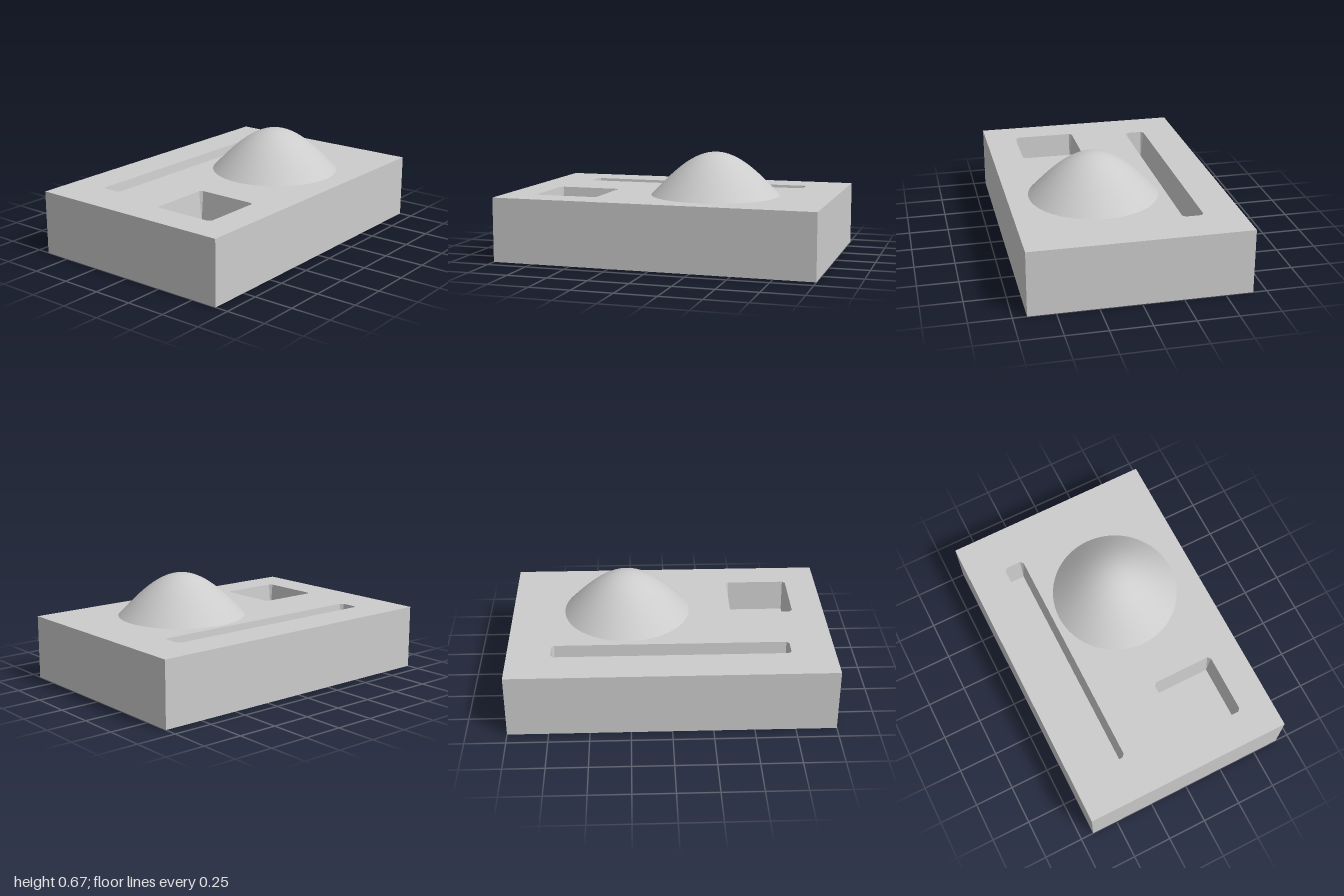
import * as THREE from 'three';

const TOP = 0.4, HALF_X = 1, HALF_Z = 0.6667;
const DRAFT = 0.0175;
// Pockets: centre, half sizes of the floor, depth
const POCKETS = [
  { name: 'squarePocket', x: -0.6, z: 0.2667, w: 0.1825, d: 0.1825, depth: 0.2 },
  { name: 'slotPocket', x: 0, z: -0.3715, w: 0.7155, d: 0.0475, depth: 0.2 },
];
const DOME = { x: 0.2667, z: 0.1333, r: 0.4, h: 0.2667, segments: 72 };

// Floor corners and the chamfered rim points belonging to each, counter-clockwise from above
function pocketCorners({ x, z, w, d }) {
  return [[1, 1], [1, -1], [-1, -1], [-1, 1]].map(([sx, sz], i) => {
    const floor = [x + sx * w, z + sz * d];
    const rimX = [x + sx * (w + DRAFT), z + sz * d];
    const rimZ = [x + sx * w, z + sz * (d + DRAFT)];
    const rim = i % 2 === 0 ? [rimZ, rimX] : [rimX, rimZ];
    return { floor, rim };
  });
}

// Tapered walls, corner facets and floor of a pocket
function pocketGeometry(pocket) {
  const corners = pocketCorners(pocket);
  const positions = [];
  const low = ([x, z]) => [x, TOP - pocket.depth, z];
  const high = ([x, z]) => [x, TOP, z];
  const tri = (...points) => points.forEach((p) => positions.push(...p));
  corners.forEach((c, i) => {
    const n = corners[(i + 1) % 4];
    tri(low(c.floor), high(c.rim[0]), high(c.rim[1]));
    tri(low(c.floor), high(c.rim[1]), high(n.rim[0]));
    tri(low(c.floor), high(n.rim[0]), low(n.floor));
  });
  const f = corners.map((c) => low(c.floor));
  tri(f[0], f[1], f[2]);
  tri(f[0], f[2], f[3]);
  const geometry = new THREE.BufferGeometry();
  geometry.setAttribute('position', new THREE.Float32BufferAttribute(positions, 3));
  geometry.computeVertexNormals();
  return geometry;
}

export function createModel() {
  const group = new THREE.Group();
  const grey = new THREE.MeshStandardMaterial({ color: 0xcccccc });
  grey.name = 'plain grey';
  const add = (name, geometry) => {
    const mesh = new THREE.Mesh(geometry, grey);
    mesh.name = name;
    group.add(mesh);
    return mesh;
  };

  // Block sides and underside: a box without its top face
  const block = new THREE.BoxGeometry(HALF_X * 2, TOP, HALF_Z * 2);
  const index = Array.from(block.index.array);
  index.splice(12, 6);
  block.setIndex(index);
  block.clearGroups();
  add('blockSides', block).position.y = TOP / 2;

  // Top face with openings for the pockets and the dome
  const face = new THREE.Shape([
    [-HALF_X, -HALF_Z], [HALF_X, -HALF_Z], [HALF_X, HALF_Z], [-HALF_X, HALF_Z],
  ].map(([x, y]) => new THREE.Vector2(x, y)));
  for (const pocket of POCKETS) {
    const rim = pocketCorners(pocket).flatMap((c) => c.rim);
    face.holes.push(new THREE.Path(rim.map(([x, z]) => new THREE.Vector2(x, -z))));
    add(pocket.name, pocketGeometry(pocket));
  }
  const ring = [];
  for (let i = 0; i < DOME.segments; i++) {
    const a = (i / DOME.segments) * Math.PI * 2;
    ring.push(new THREE.Vector2(DOME.x + DOME.r * Math.sin(a), -DOME.z - DOME.r * Math.cos(a)));
  }
  face.holes.push(new THREE.Path(ring));
  add('topFace', new THREE.ShapeGeometry(face).rotateX(-Math.PI / 2)).position.y = TOP;

  // Smooth dome with a cosine profile
  const profile = [];
  for (let i = 0; i <= 32; i++) {
    const t = 1 - i / 32;
    profile.push(new THREE.Vector2(DOME.r * t, DOME.h * Math.cos((t * Math.PI) / 2)));
  }
  add('dome', new THREE.LatheGeometry(profile, DOME.segments)).position.set(DOME.x, TOP, DOME.z);

  return group;
}
